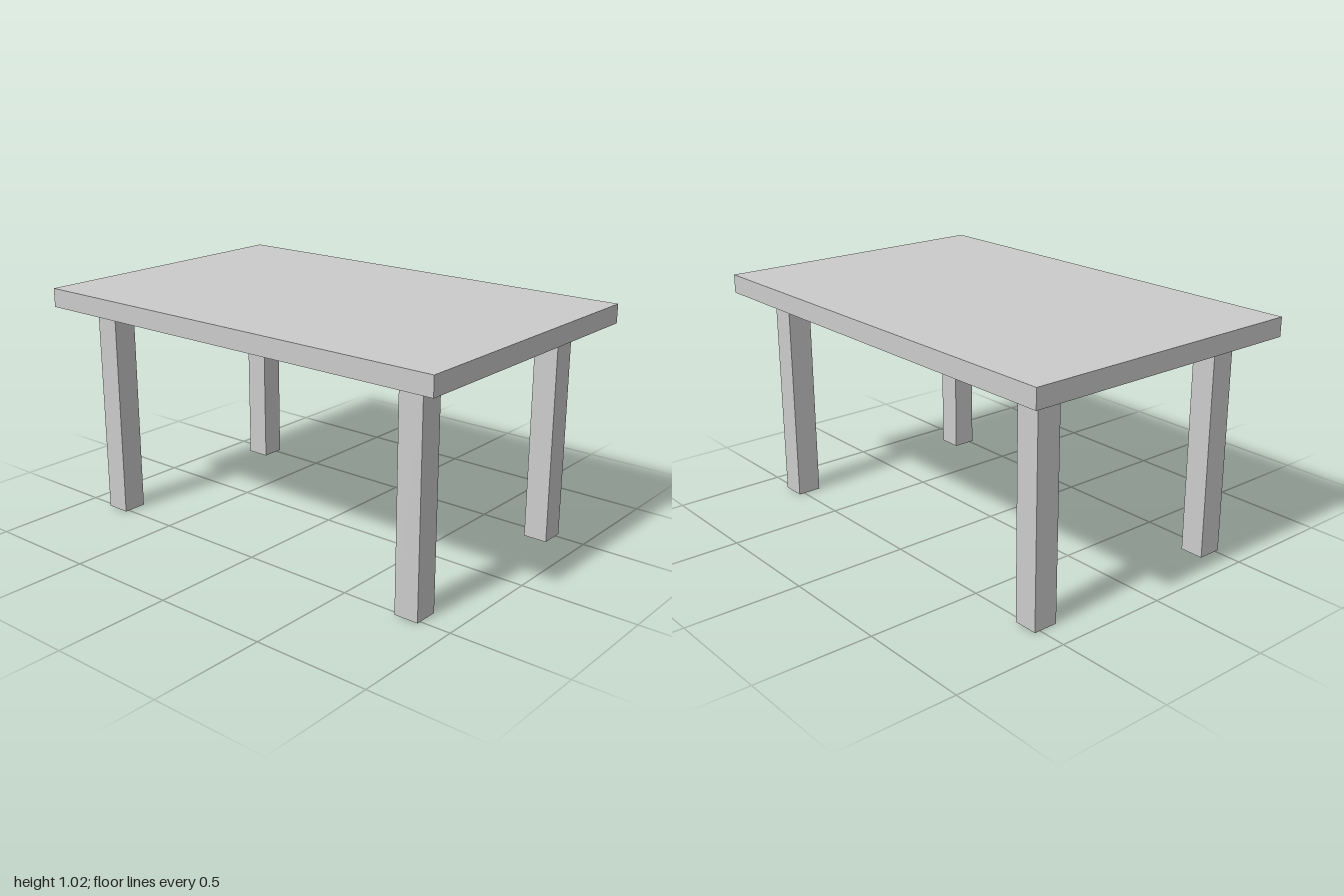
import * as THREE from 'three';

export function createModel() {
  const table = new THREE.Group();
  table.name = 'table';
  const material = new THREE.MeshStandardMaterial({ color: 0xcccccc });

  const addBox = (name, [w, h, d], [x, y, z]) => {
    const mesh = new THREE.Mesh(new THREE.BoxGeometry(w, h, d), material);
    mesh.name = name;
    mesh.position.set(x, y + h / 2, z);
    table.add(mesh);
  };

  const legHeight = 0.943;
  const legWidth = 0.107;

  // Flat rectangular slab
  addBox('tableTop', [2, 0.082, 1.302], [0, legHeight, 0]);

  // Four square legs, set in from the corners
  for (const [side, x] of [['Left', 0.811], ['Right', -0.82]]) {
    for (const [end, z] of [['front', 0.464], ['back', -0.472]]) {
      addBox(`${end}${side}Leg`, [legWidth, legHeight, legWidth], [x, 0, z]);
    }
  }

  return table;
}
